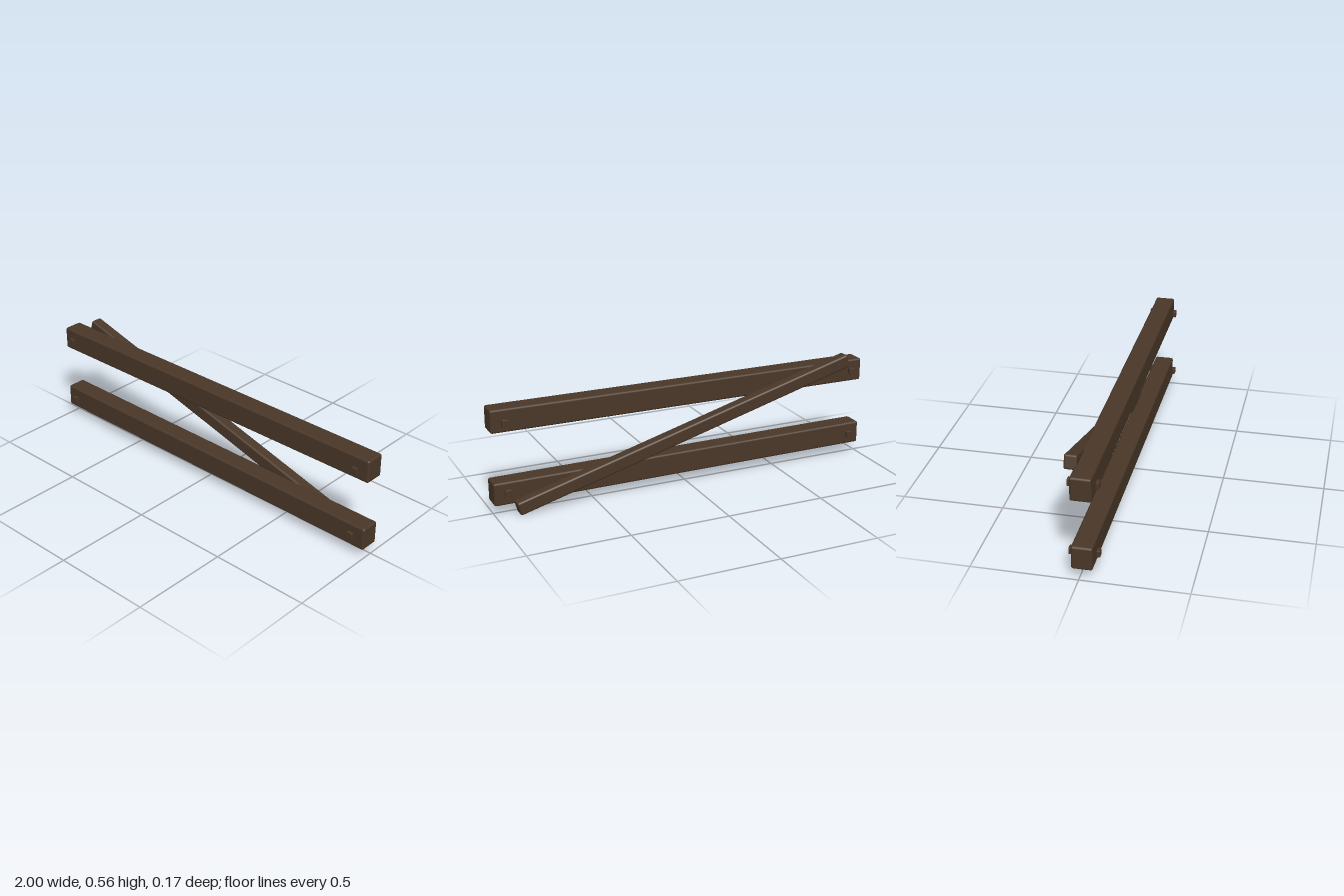
import * as THREE from 'three';
import { RoundedBoxGeometry } from 'three/addons/geometries/RoundedBoxGeometry.js';

export function createModel() {
  const model = new THREE.Group();
  const wood = new THREE.MeshStandardMaterial({ color: 0x4a3728 });
  wood.name = 'darkWood';

  // Beam with softened edges, turned about z
  function beam(name, size, position, tilt = 0, radius = 0.01) {
    const mesh = new THREE.Mesh(new RoundedBoxGeometry(...size, 2, radius), wood);
    mesh.name = name;
    mesh.position.set(...position);
    mesh.rotation.z = tilt;
    model.add(mesh);
  }

  // Two long rails, each very slightly out of level
  const rails = [
    { name: 'upper', y: 0.4685, pegY: 0.466, tilt: 0.004 },
    { name: 'lower', y: 0.112, pegY: 0.116, tilt: -0.004 },
  ];
  for (const { name, y, pegY, tilt } of rails) {
    beam(name + 'Rail', [2, 0.115, 0.098], [0, y, 0.014], tilt);

    // Peg heads standing off both faces at each end
    for (const x of [-0.935, 0.935]) {
      const side = x > 0 ? 'Left' : 'Right';
      beam(name + side + 'FrontPeg', [0.03, 0.032, 0.016], [x, pegY, 0.078], 0, 0.002);
      beam(name + side + 'BackPeg', [0.03, 0.032, 0.016], [x, pegY, -0.049], 0, 0.002);
    }
  }

  // Diagonal brace across the back
  beam('diagonalBrace', [1.86, 0.068, 0.06], [0, 0.285, -0.054], -0.273);

  return model;
}
